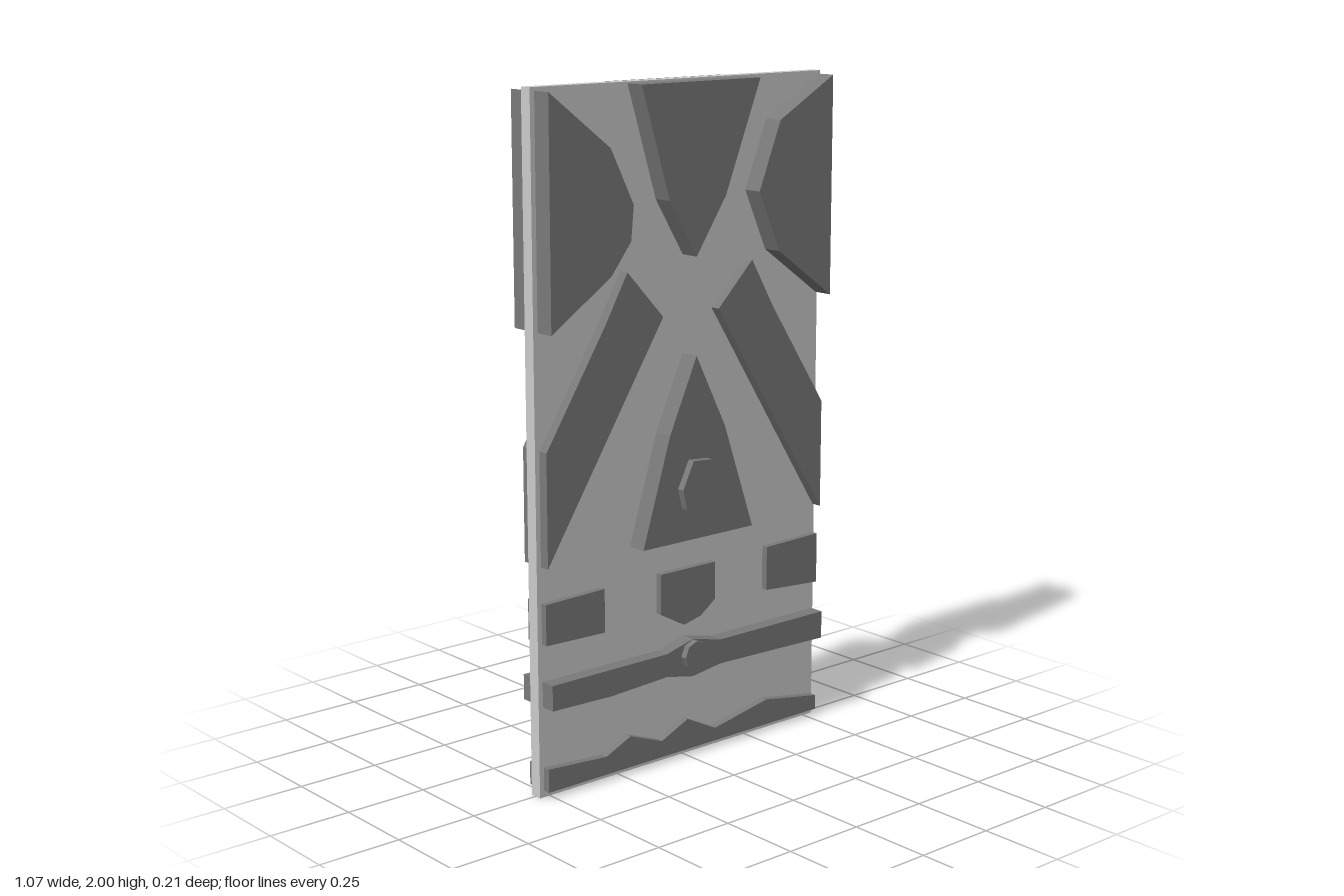
import * as THREE from 'three';

const panelMaterial = new THREE.MeshStandardMaterial({ color: 0xcccccc, flatShading: true });
const reliefMaterial = new THREE.MeshStandardMaterial({ color: 0x7a7a7a, flatShading: true });

// Flat plate cut from an outline, passing through the panel and standing out on both sides
function plate(name, halfDepth, points) {
  const shape = new THREE.Shape(points.map(([x, y]) => new THREE.Vector2(x, y)));
  const geometry = new THREE.ExtrudeGeometry(shape, { depth: 2 * halfDepth, bevelEnabled: false });
  geometry.translate(0, 0, -halfDepth);
  const mesh = new THREE.Mesh(geometry, reliefMaterial);
  mesh.name = name;
  return mesh;
}

export function createModel() {
  const door = new THREE.Group();
  door.name = 'door';

  // Thin backing panel
  const panel = new THREE.Mesh(new THREE.BoxGeometry(1.07, 2, 0.038), panelMaterial);
  panel.name = 'panel';
  panel.position.set(0, 1, 0.002);
  door.add(panel);

  // Thick upper plates
  door.add(
    plate('upperRightPlate', 0.082, [[-0.52, 1.99], [-0.52, 1.34], [-0.31, 1.48], [-0.24, 1.57], [-0.23, 1.67], [-0.31, 1.83]]),
    plate('upperLeftPlate', 0.082, [[0.53, 1.99], [0.32, 1.87], [0.24, 1.67], [0.32, 1.49], [0.53, 1.34]]),
    plate('topCentrePlate', 0.082, [[-0.2, 1.995], [-0.1, 1.67], [0, 1.505], [0.11, 1.67], [0.24, 1.995]]),
  );

  // Diagonal braces
  door.add(
    plate('rightBrace', 0.053, [[-0.23, 1.48], [-0.31, 1.34], [-0.52, 1.01], [-0.52, 0.68], [-0.1, 1.34]]),
    plate('leftBrace', 0.053, [[0.24, 1.47], [0.11, 1.34], [0.53, 0.68], [0.53, 1.01], [0.32, 1.33]]),
  );

  // Triangular plate with its boss
  door.add(
    plate('trianglePlate', 0.082, [[0, 1.22], [-0.1, 1], [-0.2, 0.68], [0.22, 0.68], [0.11, 1]]),
    plate('triangleBoss', 0.105, [[-0.03, 0.92], [-0.07, 0.84], [-0.055, 0.78], [0, 0.76], [0.06, 0.78], [0.08, 0.85], [0.04, 0.915]]),
  );

  // Row of small blocks
  door.add(
    plate('rightBlock', 0.041, [[-0.52, 0.575], [-0.52, 0.455], [-0.31, 0.45], [-0.31, 0.58]]),
    plate('centreBlock', 0.041, [[-0.1, 0.58], [-0.1, 0.46], [-0.01, 0.41], [0.055, 0.425], [0.11, 0.465], [0.11, 0.58]]),
    plate('leftBlock', 0.041, [[0.32, 0.585], [0.32, 0.45], [0.53, 0.435], [0.53, 0.59]]),
  );

  // Cross bar with its boss
  door.add(plate('crossBar', 0.067, [
    [-0.52, 0.345], [-0.52, 0.27], [-0.31, 0.265], [-0.1, 0.275], [0, 0.255], [0.11, 0.27],
    [0.53, 0.26], [0.53, 0.345], [0.11, 0.345], [0, 0.37], [-0.1, 0.345],
  ]));
  const boss = new THREE.Mesh(new THREE.CylinderGeometry(0.044, 0.044, 0.174, 8), reliefMaterial);
  boss.name = 'crossBarBoss';
  boss.rotation.x = Math.PI / 2;
  boss.position.y = 0.325;
  door.add(boss);

  // Jagged strip along the foot
  door.add(plate('footStrip', 0.044, [
    [-0.52, 0.02], [0.53, 0.02], [0.53, 0.065], [0.32, 0.1], [0.11, 0.06], [0, 0.115],
    [-0.1, 0.07], [-0.22, 0.115], [-0.31, 0.075], [-0.52, 0.09],
  ]));

  return door;
}
